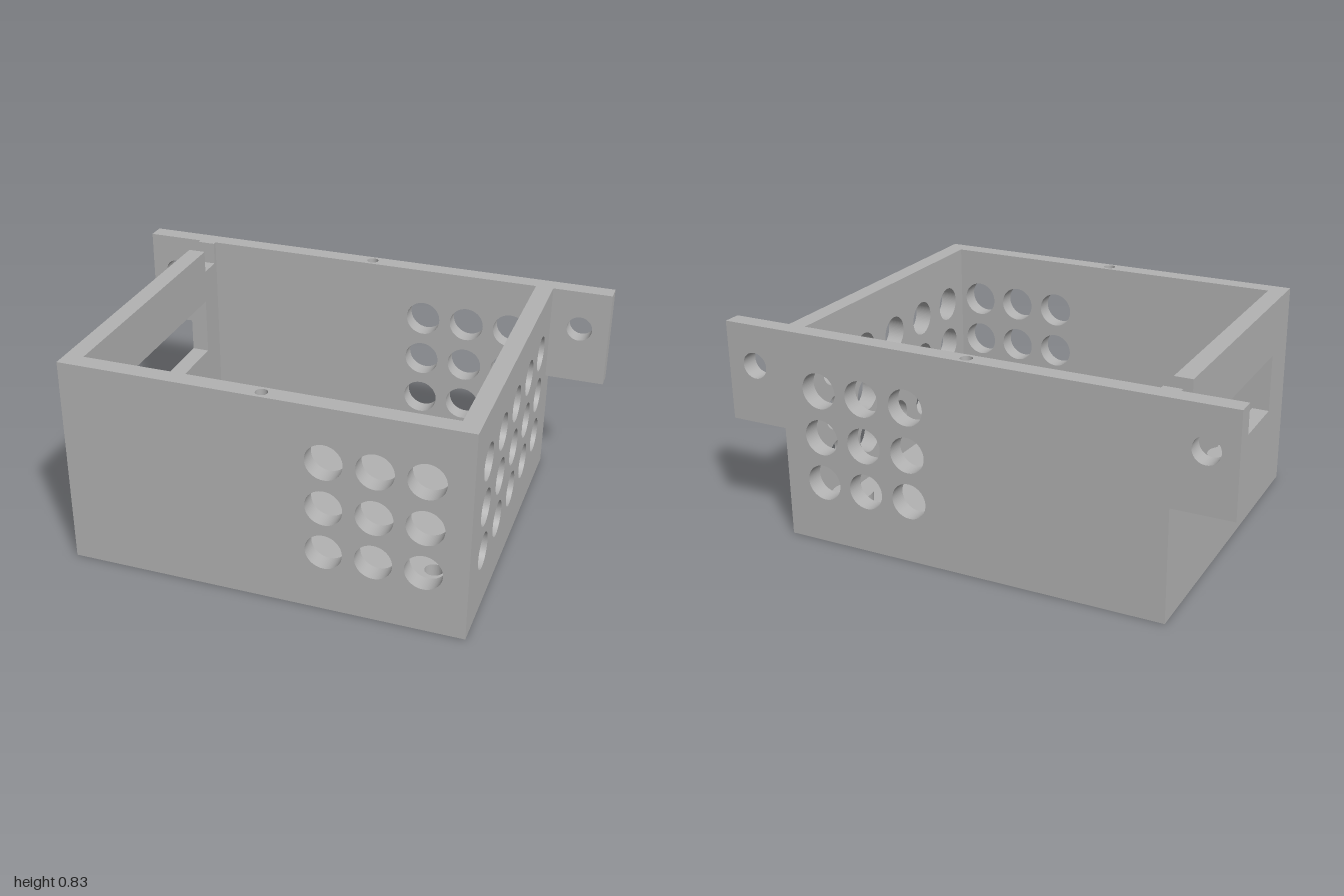
import * as THREE from 'three';

const grey = new THREE.MeshStandardMaterial({ color: 0xb2b2b2 });
grey.name = 'grey plastic';

// Main dimensions
const XL = -0.77, XR = 0.765, Z = 0.655, H = 0.83, T = 0.07;
const IL = XL + T - 0.005, IR = XR - T + 0.005, IZ = Z - T;
const rowY = [0.247, 0.431, 0.616];
const pinW = 0.05, pinDepth = 0.1, pinR = 0.023;

// Flat plate from an outline and round ([x, y, r]) or polygonal holes
function plate(name, outline, holes, depth) {
  const shape = new THREE.Shape(outline.map(([x, y]) => new THREE.Vector2(x, y)));
  for (const h of holes) {
    const path = new THREE.Path();
    if (Array.isArray(h[0])) path.setFromPoints(h.map(([x, y]) => new THREE.Vector2(x, y)));
    else path.absarc(h[0], h[1], h[2], 0, Math.PI * 2, true);
    shape.holes.push(path);
  }
  const geo = new THREE.ExtrudeGeometry(shape, { depth, bevelEnabled: false, curveSegments: 40 });
  const mesh = new THREE.Mesh(geo, grey);
  mesh.name = name;
  return mesh;
}

const rect = (x0, y0, x1, y1) => [[x0, y0], [x1, y0], [x1, y1], [x0, y1]];

// Plate facing x: outline is (z, y), thickness runs towards -x from x
function sidePlate(name, outline, holes, x) {
  const m = plate(name, outline, holes, T);
  m.geometry.rotateY(-Math.PI / 2);
  m.position.x = x;
  return m;
}

// Horizontal plate: outline is (x, z), thickness runs down from y
function flatPlate(name, outline, holes, depth, y) {
  const m = plate(name, outline, holes, depth);
  m.geometry.rotateX(Math.PI / 2);
  m.position.y = y;
  return m;
}

// Round hole grid
const grid = (us, r) => us.flatMap((u) => rowY.map((v) => [u, v, r]));

export function createModel() {
  const group = new THREE.Group();
  group.name = 'ventilatedBox';

  // Slot at the middle of a wall's top edge, filled by a block with the pin hole
  const pinSlot = [[pinW, H], [pinW, H - pinDepth], [-pinW, H - pinDepth], [-pinW, H]];
  const vents = grid([0.235, 0.42, 0.603], 0.07);

  // Front wall
  const front = plate('frontWall', [[XL, 0], [XR, 0], [XR, H], ...pinSlot, [XL, H]], vents, T);
  front.position.z = IZ;
  group.add(front);

  // Back wall with mounting ears
  const earY = 0.44;
  const back = plate('backWallWithEars',
    [[XL, 0], [XR, 0], [XR, earY], [1, earY], [1, H], ...pinSlot, [-1, H], [-1, earY], [XL, earY]],
    [...vents, [-0.888, 0.67, 0.051], [0.883, 0.67, 0.051]], T);
  back.position.z = -Z;
  group.add(back);

  // Pin hole blocks in front and back rims
  for (const s of [-1, 1]) {
    const z0 = s > 0 ? IZ : -Z;
    group.add(flatPlate('rimPinHole', rect(-pinW, z0, pinW, z0 + T),
      [[0, s * 0.62, pinR]], pinDepth, H));
  }

  // Right-hand vented wall
  group.add(sidePlate('ventedSideWall', rect(-IZ, 0, IZ, H),
    grid([0.455, 0.236, 0.017, -0.202, -0.421], 0.07), XR).translateX(0));

  // Opposite wall with a wide window and a small cable notch in its top edge
  const notchY = H - 0.09;
  group.add(sidePlate('windowSideWall',
    [[-IZ, 0], [IZ, 0], [IZ, H], [-0.47, H], [-0.47, notchY], [-0.567, notchY], [-0.567, H], [-IZ, H]],
    [rect(-0.46, 0.37, 0.465, 0.605)], XL + T));

  // Floor with two screw holes
  const screwR = 0.035, bossR = 0.08, bossTop = 0.14;
  const screws = [[-0.6, -0.485], [0.597, 0.48]];
  const pegs = [[0.597, -0.485], [-0.6, 0.48]];
  group.add(flatPlate('floor', rect(IL, -IZ, IR, IZ),
    screws.map(([x, z]) => [x, z, screwR]), T, T));

  // Hollow bosses above the screw holes
  for (const [x, z] of screws) {
    const ring = new THREE.Shape().absarc(0, 0, bossR, 0, Math.PI * 2, false);
    ring.holes.push(new THREE.Path().absarc(0, 0, screwR, 0, Math.PI * 2, true));
    const geo = new THREE.ExtrudeGeometry(ring, { depth: bossTop - T, bevelEnabled: false, curveSegments: 40 });
    geo.rotateX(Math.PI / 2);
    const boss = new THREE.Mesh(geo, grey);
    boss.name = 'screwBoss';
    boss.position.set(x, bossTop, z);
    group.add(boss);
  }

  // Solid bosses carrying locating pegs
  for (const [x, z] of pegs) {
    for (const [name, r, y0, y1] of [['pegBoss', bossR, T, bossTop], ['locatingPeg', 0.032, bossTop, 0.208]]) {
      const m = new THREE.Mesh(new THREE.CylinderGeometry(r, r, y1 - y0, 40), grey);
      m.name = name;
      m.position.set(x, (y0 + y1) / 2, z);
      group.add(m);
    }
  }

  return group;
}
